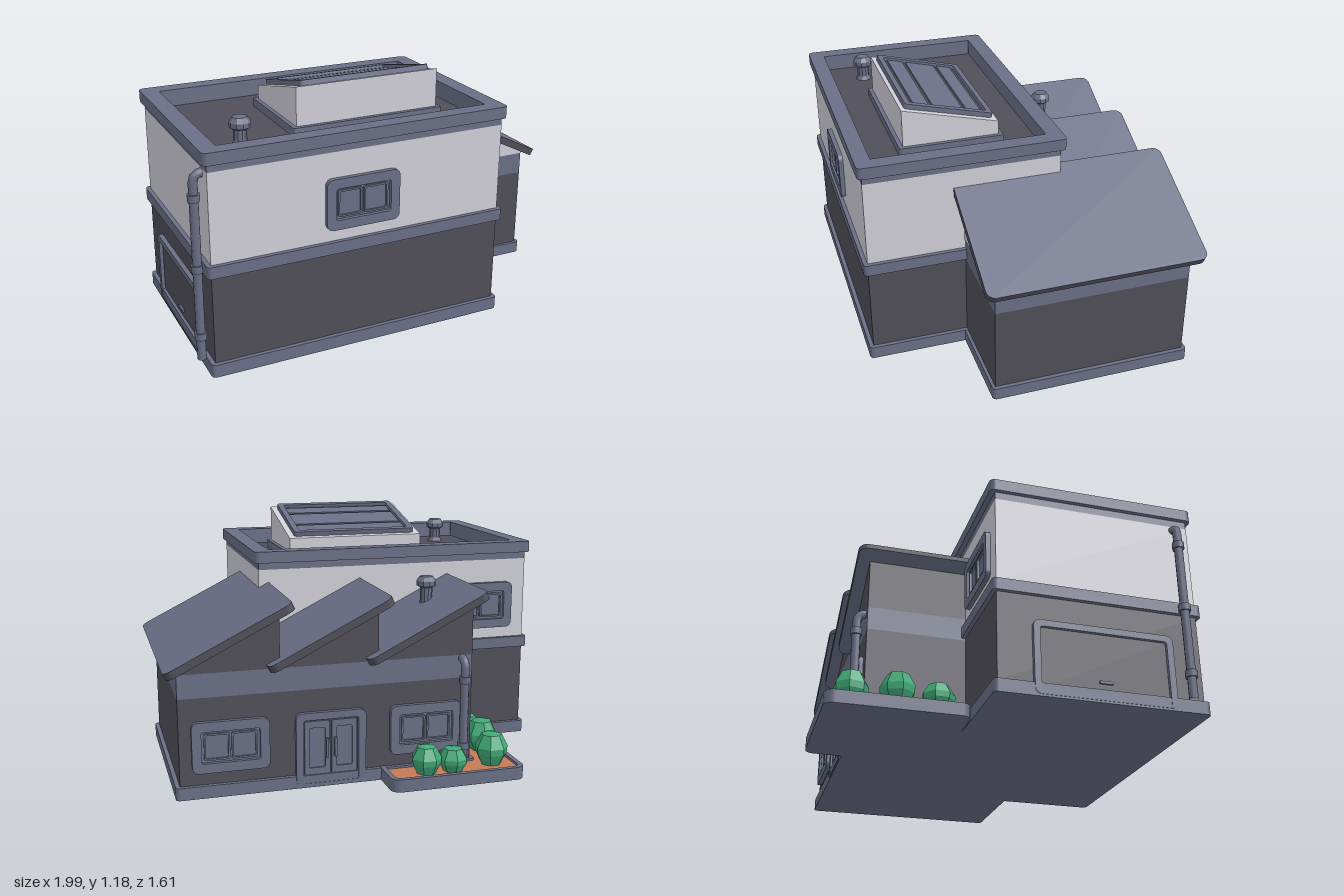
import * as THREE from 'three';

const mat = (name, color) => {
  const m = new THREE.MeshStandardMaterial({ color });
  m.name = name;
  return m;
};

export function createModel() {
  const root = new THREE.Group();
  root.name = 'house';
  const slate = mat('slate trim', 0x6a6f86);
  const charcoal = mat('charcoal wall', 0x504e59);
  const pale = mat('pale wall', 0xd0cfd8);
  const green = mat('leaf green', 0x40a878);
  const soil = mat('soil', 0xc47a55);

  const add = (name, geo, material, parent = root) => {
    const m = new THREE.Mesh(geo, material);
    m.name = name;
    parent.add(m);
    return m;
  };
  // Box given by its limits on each axis
  const box = (name, x0, x1, y0, y1, z0, z1, material, parent = root) => {
    const m = add(name, new THREE.BoxGeometry(x1 - x0, y1 - y0, z1 - z0), material, parent);
    m.position.set((x0 + x1) / 2, (y0 + y1) / 2, (z0 + z1) / 2);
    return m;
  };
  // Rounded rectangle outline
  const rounded = (x0, x1, y0, y1, r, target = new THREE.Shape()) => {
    target.absarc(x1 - r, y0 + r, r, -Math.PI / 2, 0, false);
    target.absarc(x1 - r, y1 - r, r, 0, Math.PI / 2, false);
    target.absarc(x0 + r, y1 - r, r, Math.PI / 2, Math.PI, false);
    target.absarc(x0 + r, y0 + r, r, Math.PI, Math.PI * 1.5, false);
    target.closePath();
    return target;
  };
  const extrude = (shape, depth) =>
    new THREE.ExtrudeGeometry(shape, { depth, bevelEnabled: false, curveSegments: 4 });
  // Horizontal slab with rounded corners and an optional opening
  const slab = (name, x0, x1, y0, y1, z0, z1, r, material, hole, parent = root) => {
    const s = rounded(x0, x1, -z1, -z0, r);
    if (hole) s.holes.push(rounded(hole[0], hole[1], -hole[3], -hole[2], hole[4], new THREE.Path()));
    const m = add(name, extrude(s, y1 - y0).rotateX(-Math.PI / 2), material, parent);
    m.position.y = y0;
    return m;
  };
  const part = (name, x, y, z, ry = 0) => {
    const g = new THREE.Group();
    g.name = name;
    g.position.set(x, y, z);
    g.rotation.y = ry;
    root.add(g);
    return g;
  };

  // Main block
  slab('mainPlinth', -0.95, 0.49, 0, 0.06, -0.165, 0.805, 0.02, slate);
  box('mainLowerWall', -0.93, 0.47, 0.06, 0.47, -0.145, 0.785, charcoal);
  slab('mainBand', -0.95, 0.49, 0.47, 0.525, -0.165, 0.805, 0.02, slate);
  box('mainUpperWall', -0.93, 0.47, 0.525, 0.935, -0.145, 0.785, pale);
  const opening = [-0.87, 0.41, -0.09, 0.73, 0.003];
  slab('mainTrim', -0.93, 0.47, 0.935, 0.97, -0.145, 0.785, 0.003, slate, opening);
  slab('parapet', -0.95, 0.49, 0.97, 1.025, -0.17, 0.805, 0.025, slate, opening);
  box('roofFloor', -0.87, 0.41, 0.935, 0.945, -0.09, 0.73, charcoal);

  // Side wing
  slab('wingPlinth', -0.47, 0.95, 0, 0.058, -0.63, 0.335, 0.02, slate);
  box('wingWall', -0.45, 0.93, 0.058, 0.46, -0.61, 0.32, charcoal);
  box('wingBand', -0.45, 0.93, 0.46, 0.57, -0.61, 0.32, slate);

  // Sawtooth roofs
  const pitch = Math.atan(0.5);
  for (let i = 0; i < 3; i++) {
    const x = -0.45 + i * 0.46;
    const front = i === 2 ? 0.32 : -0.14;
    const tooth = new THREE.Shape([
      [x, 0.57], [x + 0.46, 0.57], [x + 0.46, 0.582], [x, 0.815],
    ].map(p => new THREE.Vector2(...p)));
    add('sawtoothWall', extrude(tooth, front + 0.61), charcoal).position.z = -0.61;
    if (i === 2) add('paleGable', extrude(tooth, 0.004), pale).position.z = 0.32;
    const sheet = rounded(0, 0.638, -(front + 0.05), 0.67, 0.04);
    const roof = add('sawtoothRoof', extrude(sheet, 0.035).rotateX(-Math.PI / 2), [slate, charcoal]);
    roof.rotation.z = -pitch;
    roof.position.set(x - 0.065, 0.843, 0);
  }

  // Skylight
  slab('skylightBase', -0.46, 0.28, 0.945, 0.985, 0.07, 0.57, 0.01, slate);
  const wedge = new THREE.Shape([
    [0.09, 0.95], [0.55, 0.95], [0.55, 1.165], [0.09, 1.05],
  ].map(p => new THREE.Vector2(...p)));
  add('skylightBox', extrude(wedge, 0.7).rotateY(-Math.PI / 2), pale).position.x = 0.26;
  const sky = part('skylightPanel', -0.09, 1.11, 0.32);
  sky.rotation.x = -Math.atan(0.25);
  slab('skylightFrame', -0.32, 0.32, -0.002, 0.022, -0.215, 0.215, 0.015, slate,
    [-0.29, 0.29, -0.188, 0.188, 0.01], sky);
  box('skylightBacking', -0.295, 0.295, -0.002, 0.004, -0.19, 0.19, charcoal, sky);
  for (const [a, b] of [[-0.168, -0.095], [-0.078, 0.07], [0.088, 0.165]])
    box('skylightPane', -0.285, 0.285, 0.004, 0.012, a, b, slate, sky);

  // Windows
  const window_ = (x, y, z, ry) => {
    const g = part('window', x, y, z, ry);
    const s = rounded(-0.175, 0.175, -0.118, 0.118, 0.03);
    s.holes.push(rounded(-0.132, 0.132, -0.073, 0.073, 0.01, new THREE.Path()));
    add('windowFrame', extrude(s, 0.022), slate, g);
    box('windowBacking', -0.135, 0.135, -0.076, 0.076, 0, 0.004, slate, g);
    for (const sx of [-1, 1]) {
      const p = rounded(-0.058, 0.058, -0.062, 0.062, 0.008);
      p.holes.push(rounded(-0.05, 0.05, -0.054, 0.054, 0.006, new THREE.Path()));
      add('windowSash', extrude(p, 0.014), slate, g).position.x = sx * 0.062;
    }
  };
  window_(-0.235, 0.7, 0.785, 0);
  window_(-0.68, 0.7, -0.145, Math.PI);
  window_(0.7, 0.235, -0.61, Math.PI);
  window_(-0.22, 0.235, -0.61, Math.PI);

  // Arched surround used by the door and the garage
  const surround = (name, g, w, h, t) => {
    const s = rounded(-w, w, -0.03, h, 0.03);
    s.holes.push(rounded(-w + t, w - t, -0.02, h - t, 0.012, new THREE.Path()));
    add(name, extrude(s, 0.022), slate, g);
  };
  // Double entrance door
  const door = part('entranceDoor', 0.24, 0.04, -0.61, Math.PI);
  surround('doorFrame', door, 0.165, 0.315, 0.035);
  for (const sx of [-1, 1]) {
    const leaf = rounded(-0.06, 0.06, 0, 0.272, 0.008);
    leaf.holes.push(rounded(-0.038, 0.038, 0.05, 0.24, 0.008, new THREE.Path()));
    add('doorLeaf', extrude(leaf, 0.012), slate, door).position.x = sx * 0.064;
    box('doorPane', sx * 0.064 - 0.045, sx * 0.064 + 0.045, 0.04, 0.25, 0, 0.004, slate, door);
    box('doorHandle', sx * 0.02 - 0.006, sx * 0.02 + 0.006, 0.1, 0.19, 0.01, 0.03, slate, door);
  }
  // Garage door
  const garage = part('garageDoor', -0.93, 0.04, 0.33, -Math.PI / 2);
  surround('garageFrame', garage, 0.32, 0.31, 0.03);
  box('garagePanel', -0.292, 0.292, 0, 0.282, 0, 0.006, charcoal, garage);
  box('garageHandle', -0.03, 0.03, 0.05, 0.062, 0.006, 0.016, slate, garage);

  // Drainpipes, with an elbow turning toward the wall
  const pipe = (x, z, top, dx, dz, rings) => {
    const g = part('drainpipe', x, 0, z);
    const path = new THREE.CurvePath();
    const v = (a, y) => new THREE.Vector3(dx * a, y, dz * a);
    path.add(new THREE.LineCurve3(v(0, 0.055), v(0, top - 0.04)));
    path.add(new THREE.QuadraticBezierCurve3(v(0, top - 0.04), v(0, top), v(0.045, top)));
    add('pipeTube', new THREE.TubeGeometry(path, 40, 0.02, 10), slate, g);
    for (const y of rings)
      add('pipeRing', new THREE.CylinderGeometry(0.027, 0.027, 0.032, 12), slate, g).position.y = y;
  };
  pipe(-0.968, 0.715, 0.915, 1, 0, [0.17, 0.49, 0.81]);
  pipe(-0.4, -0.65, 0.555, 0, 1, [0.14, 0.46]);

  // Roof vents
  const vent = (x, y0, z, top) => {
    const profile = [[0.04, y0], [0.03, y0 + 0.02], [0.03, top - 0.055], [0.048, top - 0.045],
      [0.048, top - 0.022], [0.032, top], [0, top]].map(p => new THREE.Vector2(...p));
    const geo = new THREE.LatheGeometry(profile, 10).toNonIndexed();
    geo.computeVertexNormals();
    add('roofVent', geo, slate).position.set(x, 0, z);
  };
  vent(-0.7, 0.945, 0.55, 1.07);
  vent(-0.32, 0.755, -0.33, 0.9);

  // Planter and bushes
  slab('planterRim', -0.655, 0, 0, 0.06, -0.805, -0.17, 0.045, slate, [-0.632, -0.023, -0.782, -0.18, 0.03]);
  slab('planterFloor', -0.64, -0.015, 0, 0.02, -0.79, -0.18, 0.03, slate);
  slab('planterSoil', -0.635, -0.02, 0.02, 0.048, -0.785, -0.175, 0.03, soil);
  const bushes = [[-0.53, -0.68, 0.08, 0.16], [-0.32, -0.72, 0.07, 0.12], [-0.19, -0.715, 0.073, 0.14],
    [-0.565, -0.48, 0.082, 0.16], [-0.56, -0.3, 0.078, 0.13]];
  bushes.forEach(([x, z, r, h], i) => {
    const profile = [[0.6, 0], [0.95, 0.35], [0.98, 0.55], [0.6, 0.92], [0, 1]]
      .map(([a, b]) => new THREE.Vector2(a * r, b * h));
    const geo = new THREE.LatheGeometry(profile, 7).toNonIndexed();
    geo.computeVertexNormals();
    const bush = add('bush', geo, green);
    bush.position.set(x, 0.046, z);
    bush.rotation.y = i * 1.3;
  });

  return root;
}
